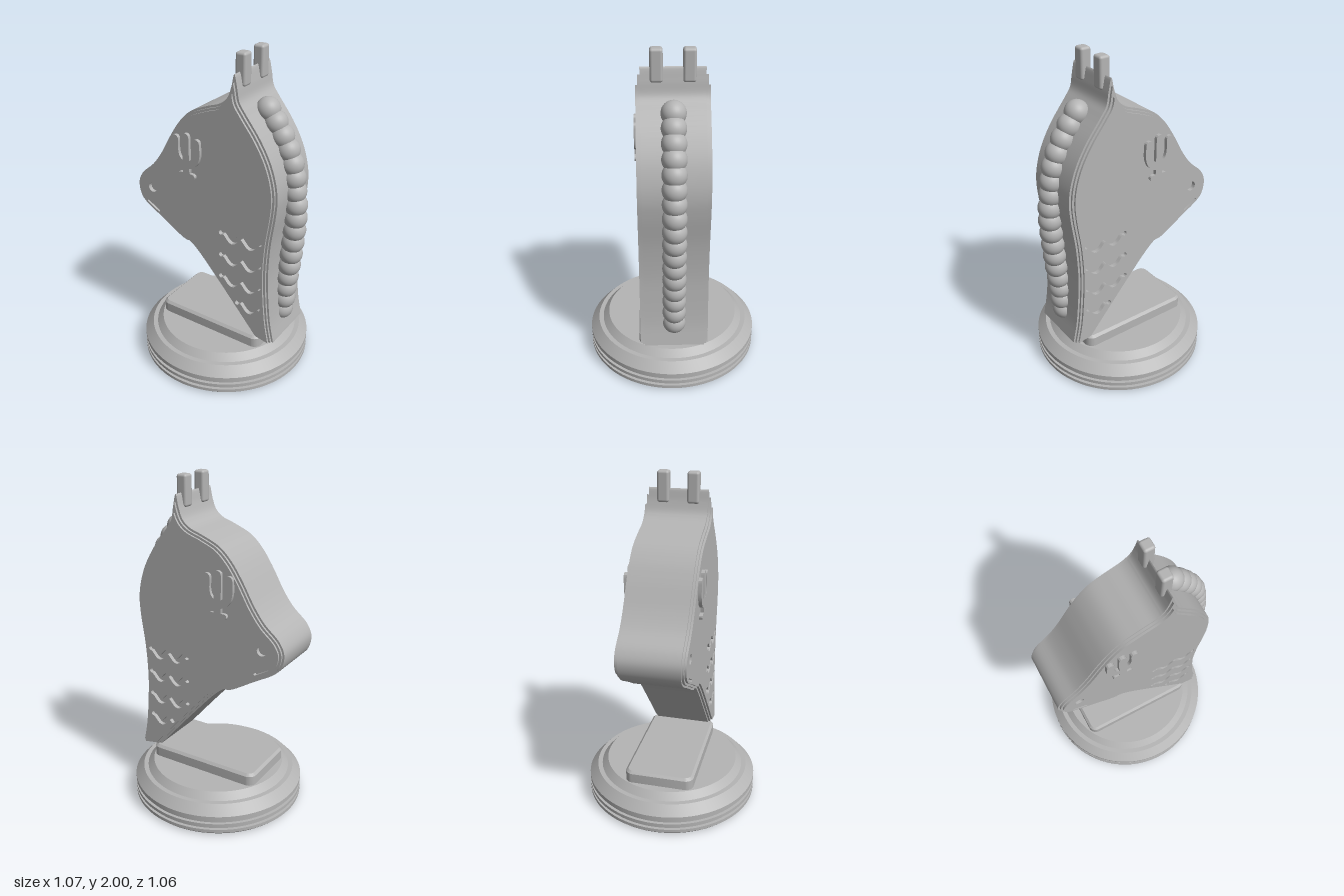
import * as THREE from 'three';
import { toCreasedNormals } from 'three/addons/utils/BufferGeometryUtils.js';
import { RoundedBoxGeometry } from 'three/addons/geometries/RoundedBoxGeometry.js';

const V = (p) => new THREE.Vector2(p[0], p[1]);
const FOOT = 0.288;

// Head and neck outline, from the back of the neck over the crest to the throat
const OUTLINE = [
  [0.446, FOOT], [0.42, 0.42], [0.402, 0.6], [0.395, 0.75], [0.405, 0.95], [0.432, 1.15], [0.438, 1.25],
  [0.427, 1.34], [0.39, 1.455], [0.323, 1.575], [0.224, 1.705], [0.19, 1.755], [0.175, 1.83], [0.157, 1.9],
  [0.139, 1.83], [0.113, 1.765], [0.07, 1.727], [-0.02, 1.693], [-0.125, 1.645], [-0.2, 1.575],
  [-0.267, 1.48], [-0.35, 1.338], [-0.414, 1.253], [-0.504, 1.169], [-0.536, 1.1], [-0.522, 1.02],
  [-0.483, 0.974], [-0.36, 0.9], [-0.19, 0.803], [-0.155, 0.8], [-0.1, 0.757], [0.06, 0.583], [0.315, FOOT],
];

function smooth(points, n) {
  const curve = new THREE.CatmullRomCurve3(points.map((p) => new THREE.Vector3(p[0], p[1], 0)), false, 'centripetal');
  return curve.getPoints(n).map((p) => new THREE.Vector2(p.x, p.y));
}

// Move an outline inwards, leaving out points that fold over at narrow tips
function inset(pts, d) {
  const out = pts.map((p, i) => {
    const t = pts[Math.min(i + 1, pts.length - 1)].clone().sub(pts[Math.max(i - 1, 0)]).normalize();
    return new THREE.Vector2(p.x - t.y * d, Math.max(p.y + t.x * d, FOOT));
  });
  return out.filter((q, i) => i === 0 || i === pts.length - 1 || pts.every((p) => p.distanceTo(q) > d * 0.96));
}

// Closed band with round ends around a centre line
function ribbon(line, w) {
  const left = [], right = [];
  line.forEach((p, i) => {
    const t = line[Math.min(i + 1, line.length - 1)].clone().sub(line[Math.max(i - 1, 0)]).normalize();
    left.push(new THREE.Vector2(p.x - t.y * w, p.y + t.x * w));
    right.unshift(new THREE.Vector2(p.x + t.y * w, p.y - t.x * w));
  });
  const cap = (c, from) => {
    const a0 = Math.atan2(from.y - c.y, from.x - c.x);
    return [1, 2, 3, 4, 5].map((k) => {
      const a = a0 - (k * Math.PI) / 6;
      return new THREE.Vector2(c.x + Math.cos(a) * w, c.y + Math.sin(a) * w);
    });
  };
  const end = line[line.length - 1];
  return [...left, ...cap(end, left[left.length - 1]), ...right, ...cap(line[0], right[right.length - 1])];
}

function wave(x0, x1, y) {
  const pts = [];
  for (let i = 0; i <= 28; i++) {
    const x = x0 + ((x1 - x0) * i) / 28;
    pts.push(new THREE.Vector2(x, y + 0.024 * Math.cos(((x - 0.1) / 0.123) * Math.PI * 2)));
  }
  return pts;
}

export function createModel() {
  const group = new THREE.Group();
  const grey = new THREE.MeshStandardMaterial({ color: 0xb4b4b4 });
  grey.name = 'grey';

  const add = (name, geo, x = 0, y = 0, z = 0) => {
    const mesh = new THREE.Mesh(geo, grey);
    mesh.name = name;
    mesh.position.set(x, y, z);
    group.add(mesh);
    return mesh;
  };
  const slab = (name, outline, z0, z1, holes = []) => {
    const shape = new THREE.Shape(outline);
    shape.holes = holes.map((h) => new THREE.Path(h));
    const geo = new THREE.ExtrudeGeometry(shape, { depth: z1 - z0, bevelEnabled: false });
    return add(name, toCreasedNormals(geo, 0.5), 0, 0, z0);
  };
  // The same slab on both flanks
  const flanks = (name, outline, z0, z1, holes) => {
    slab(name + 'Left', outline, z0, z1, holes);
    slab(name + 'Right', outline, -z1, -z0, holes);
  };

  // Round base with two grooves and a stepped, sloping top
  const baseProfile = [
    [0, 0], [0.515, 0], [0.53, 0.015], [0.53, 0.035], [0.512, 0.035], [0.512, 0.055], [0.53, 0.055],
    [0.53, 0.075], [0.512, 0.075], [0.512, 0.098], [0.53, 0.098], [0.53, 0.125], [0.478, 0.18],
    [0.45, 0.18], [0.412, 0.22], [0, 0.22],
  ].map(V);
  add('base', toCreasedNormals(new THREE.LatheGeometry(baseProfile, 96), 0.35), -0.01);

  // Rounded plinth
  const w = 0.35, h = 0.195, r = 0.035;
  const plan = new THREE.Shape();
  plan.absarc(w - r, h - r, r, 0, Math.PI / 2);
  plan.absarc(-w + r, h - r, r, Math.PI / 2, Math.PI);
  plan.absarc(-w + r, -h + r, r, Math.PI, Math.PI * 1.5);
  plan.absarc(w - r, -h + r, r, Math.PI * 1.5, Math.PI * 2);
  const plinth = new THREE.ExtrudeGeometry(plan, {
    depth: 0.07, bevelThickness: 0.015, bevelSize: 0.015, bevelSegments: 1, curveSegments: 8,
  });
  plinth.rotateX(-Math.PI / 2);
  add('plinth', toCreasedNormals(plinth, 0.5), -0.01, 0.21);

  // Head core and stepped side plates with carved nostril, mouth and neck waves
  const outline = smooth(OUTLINE, 192);
  slab('headCore', outline, -0.175, 0.175);
  const nostril = [];
  for (let i = 0; i < 24; i++) {
    const a = (i / 24) * Math.PI * 2;
    nostril.push(new THREE.Vector2(-0.41 + 0.03 * Math.cos(a), 1.105 + 0.03 * Math.sin(a)));
  }
  const carvings = [
    nostril,
    ribbon([[-0.45, 1.003], [-0.37, 0.957]].map(V), 0.007),
    ...[[0.085, 0.935], [0.085, 0.785], [0.085, 0.635], [0.2, 0.488]].map(([x, y]) => ribbon(wave(x, 0.348, y), 0.014)),
  ];
  flanks('sideStep', inset(outline, 0.012), 0.17, 0.188, carvings);
  flanks('sidePanel', inset(outline, 0.025), 0.187, 0.2, carvings);

  // Raised cactus emblem
  const arms = smooth([[-0.21, 1.478], [-0.21, 1.4], [-0.192, 1.355], [-0.14, 1.33],
    [-0.086, 1.355], [-0.066, 1.4], [-0.066, 1.478]], 36);
  flanks('cactusArms', ribbon(arms, 0.023), 0.195, 0.22);
  flanks('cactusStem', ribbon([[-0.138, 1.27], [-0.138, 1.5]].map(V), 0.023), 0.195, 0.22);
  flanks('cactusGround', ribbon([[-0.18, 1.264], [-0.096, 1.264]].map(V), 0.017), 0.195, 0.22);

  // Pair of horns on the crest
  for (const s of [1, -1]) {
    add(s > 0 ? 'hornLeft' : 'hornRight', new RoundedBoxGeometry(0.065, 0.18, 0.07, 3, 0.015), 0.157, 1.91, s * 0.088);
  }

  // Mane of overlapping beads down the back of the neck
  const mane = new THREE.CatmullRomCurve3([
    [0.262, 1.682], [0.315, 1.61], [0.37, 1.52], [0.408, 1.44], [0.432, 1.355], [0.448, 1.23], [0.46, 1.127],
    [0.456, 0.995], [0.446, 0.863], [0.435, 0.747], [0.42, 0.615], [0.41, 0.493], [0.4, 0.43],
  ].map(([x, y]) => new THREE.Vector3(x, y, 0)));
  const bead = new THREE.SphereGeometry(0.069, 32, 20);
  mane.getSpacedPoints(16).forEach((p, i) => add('maneBead' + (i + 1), bead, p.x, p.y, 0));

  return group;
}
